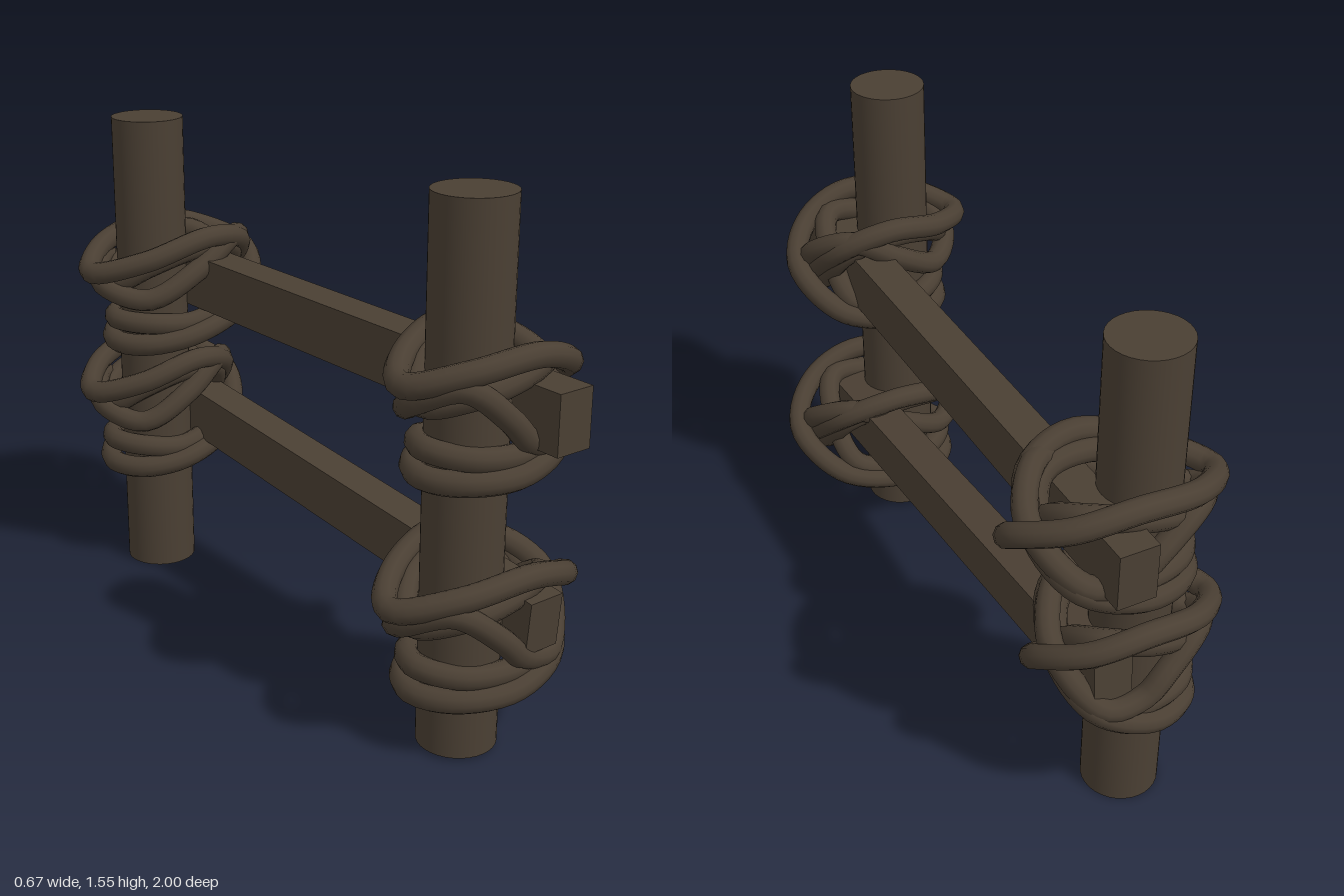
import * as THREE from 'three';

const wood = new THREE.MeshStandardMaterial({ color: 0x4a3f33 });
const ropeMaterial = new THREE.MeshStandardMaterial({ color: 0x4a3f33 });

// Outer turns: over the rail diagonally, round the post above and below it
const outerTurns = [
  [-0.29, 0.09, 0], [-0.17, 0.13, 0.13], [0.04, 0.15, 0.17], [0.2, 0.1, 0.13],
  [0.295, 0.02, 0], [0.2, -0.1, -0.13], [0, -0.15, -0.17], [-0.15, -0.165, -0.11],
  [-0.205, -0.165, 0], [-0.15, -0.16, 0.11], [0, -0.15, 0.17], [0.17, -0.1, 0.13],
  [0.23, 0, 0], [0.18, 0.11, -0.13], [0.03, 0.16, -0.18], [-0.17, 0.12, -0.13],
];

// Inner turns: the same crossing, pulled tight against post and rail
const innerTurns = [
  [-0.22, 0.03, 0], [-0.14, 0.06, 0.11], [0, 0.09, 0.14], [0.13, 0.11, 0.11],
  [0.18, 0.05, 0], [0.15, -0.08, -0.12], [0, -0.12, -0.14], [-0.14, -0.1, -0.1],
  [-0.2, -0.09, 0], [-0.14, -0.1, 0.1], [0, -0.11, 0.14], [0.15, -0.1, 0.12],
  [0.2, -0.04, 0], [0.15, 0.09, -0.12], [0, 0.12, -0.14], [-0.14, 0.09, -0.1],
];

// A slack turn running down across the post
const slackTurn = [
  [-0.25, 0.04, 0], [-0.18, 0.09, 0.12], [-0.05, 0, 0.16], [0.03, -0.07, 0.16],
  [0.15, -0.09, 0.14], [0.25, 0.05, 0], [0.15, 0.13, -0.14], [0, 0.06, -0.17],
  [-0.16, -0.01, -0.12],
];

const turns = { outerRope: outerTurns, innerRope: innerTurns, slackRope: slackTurn };

// scale sizes the loops along x, y and z; lean lifts them towards +x
function lashing(name, [x, y, z], [sx, sy, sz], lean) {
  const group = new THREE.Group();
  group.name = name;
  for (const [ropeName, points] of Object.entries(turns)) {
    const path = new THREE.CatmullRomCurve3(
      points.map((p) => new THREE.Vector3(p[0] * sx, p[1] * sy + p[0] * lean, p[2] * sz)), true, 'centripetal');
    const mesh = new THREE.Mesh(new THREE.TubeGeometry(path, points.length * 6, 0.035, 10, true), ropeMaterial);
    mesh.name = ropeName;
    group.add(mesh);
  }
  group.position.set(x, y, z);
  return group;
}

function post(name, z, bottom, top) {
  const mesh = new THREE.Mesh(new THREE.CylinderGeometry(0.113, 0.113, top - bottom, 32), wood);
  mesh.name = name;
  mesh.position.set(-0.068, (top + bottom) / 2, z);
  return mesh;
}

function rail(name, y, z, length, height, tilt) {
  const mesh = new THREE.Mesh(new THREE.BoxGeometry(0.115, height, length), wood);
  mesh.name = name;
  mesh.position.set(0.073, y, z);
  mesh.rotation.x = tilt;
  return mesh;
}

export function createModel() {
  const model = new THREE.Group();
  model.name = 'lashedFence';
  model.add(
    post('frontPost', 0.755, 0.01, 1.555),
    post('backPost', -0.765, 0, 1.515),
    rail('upperRail', 0.985, 0, 2, 0.17, 0),
    rail('lowerRail', 0.468, 0.005, 1.86, 0.158, 0.088),
    lashing('frontUpperLashing', [-0.01, 0.99, 0.745], [0.93, 1.05, 0.97], 0),
    lashing('frontLowerLashing', [0, 0.368, 0.735], [1.03, 1.08, 1.03], 0),
    lashing('backUpperLashing', [0, 0.98, -0.76], [1.02, 1, -1], 0.1),
    lashing('backLowerLashing', [-0.035, 0.56, -0.785], [0.9, 1.08, -1], 0.08),
  );
  return model;
}
